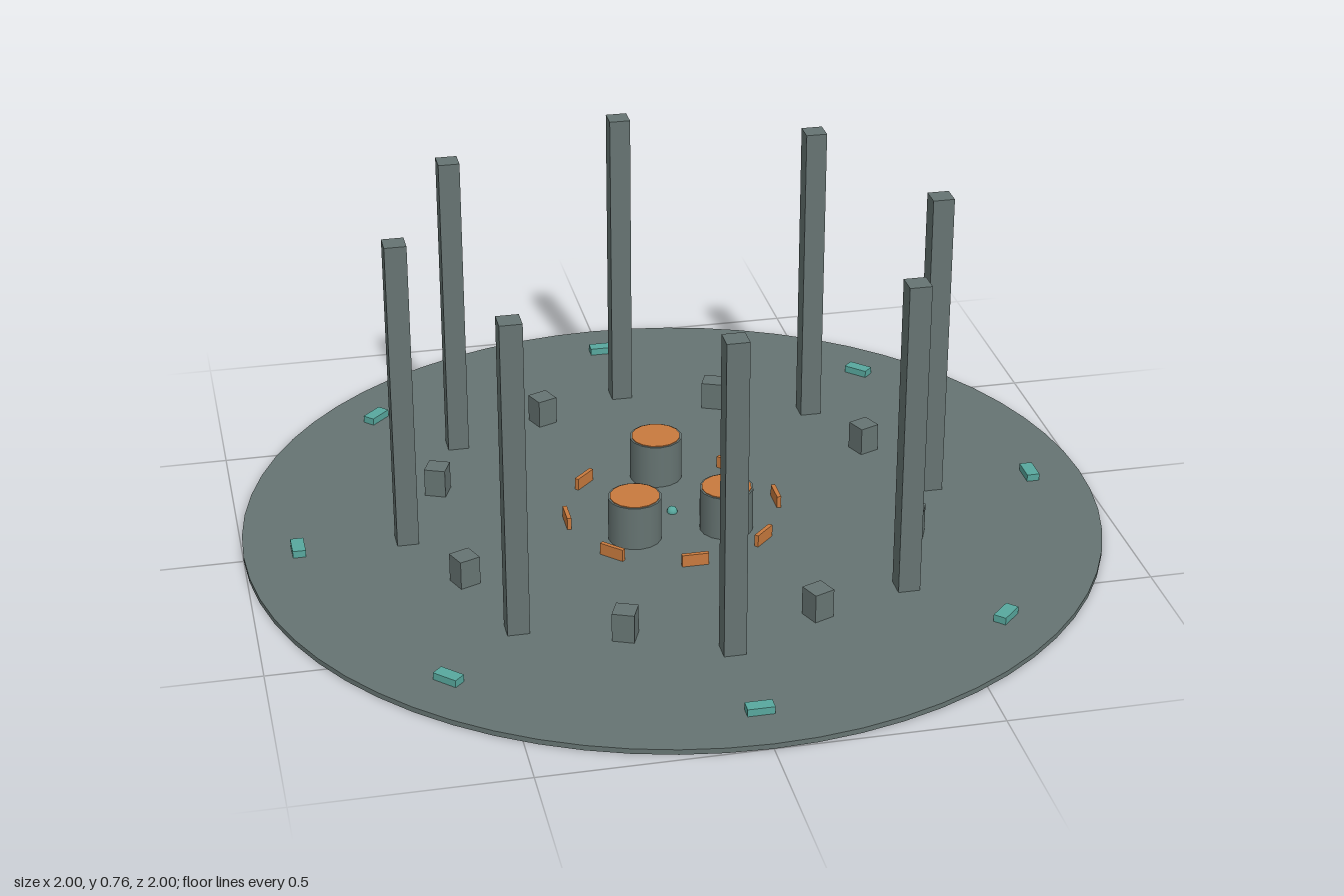
import * as THREE from 'three';

const stone = new THREE.MeshStandardMaterial({ color: 0x667472 });
stone.name = 'slate grey';
const copper = new THREE.MeshStandardMaterial({ color: 0xc87a3e });
copper.name = 'copper orange';
const teal = new THREE.MeshStandardMaterial({ color: 0x58a89e });
teal.name = 'teal';

const FLOOR = 0.012; // top of the base disc

export function createModel() {
  const model = new THREE.Group();
  model.name = 'pillarCircle';

  const add = (name, geometry, material, x, y, z, turn = 0) => {
    const mesh = new THREE.Mesh(geometry, material);
    mesh.name = name;
    mesh.position.set(x, y, z);
    mesh.rotation.y = turn;
    model.add(mesh);
  };

  // Ring of eight boxes standing on the floor; width runs along the ring
  const ring = (name, material, radius, [w, top, d], start = 0, turned = true) => {
    const h = top - FLOOR;
    const geometry = new THREE.BoxGeometry(w, h, d);
    for (let i = 0; i < 8; i++) {
      const a = start + (i * Math.PI) / 4;
      add(name, geometry, material, Math.sin(a) * radius, FLOOR + h / 2,
        Math.cos(a) * radius, turned ? a : 0);
    }
  };

  // Base disc
  add('baseDisc', new THREE.CylinderGeometry(1, 1, FLOOR, 64), stone, 0, FLOOR / 2, 0);

  // Tall pillars, short blocks between them, outer markers and inner plates
  ring('pillar', stone, 0.625, [0.05, 0.76, 0.05], 0, false);
  ring('shortBlock', stone, 0.565, [0.05, 0.08, 0.05], Math.PI / 8);
  ring('outerMarker', teal, 0.875, [0.06, 0.029, 0.03]);
  ring('innerPlate', copper, 0.25, [0.062, 0.041, 0.01]);

  // Three drums with coloured tops
  const drumHeight = 0.118 - FLOOR;
  const drum = new THREE.CylinderGeometry(0.0625, 0.0625, drumHeight, 16);
  const top = new THREE.CylinderGeometry(0.058, 0.058, 0.004, 16);
  for (const [x, z] of [[0, -0.187], [-0.108, 0.094], [0.108, 0.094]]) {
    add('drum', drum, stone, x, FLOOR + drumHeight / 2, z);
    add('drumTop', top, copper, x, 0.118, z);
  }

  // Small bead in the middle
  add('centreBead', new THREE.SphereGeometry(0.0125, 12, 8), teal, 0, 0.015, 0);

  return model;
}
